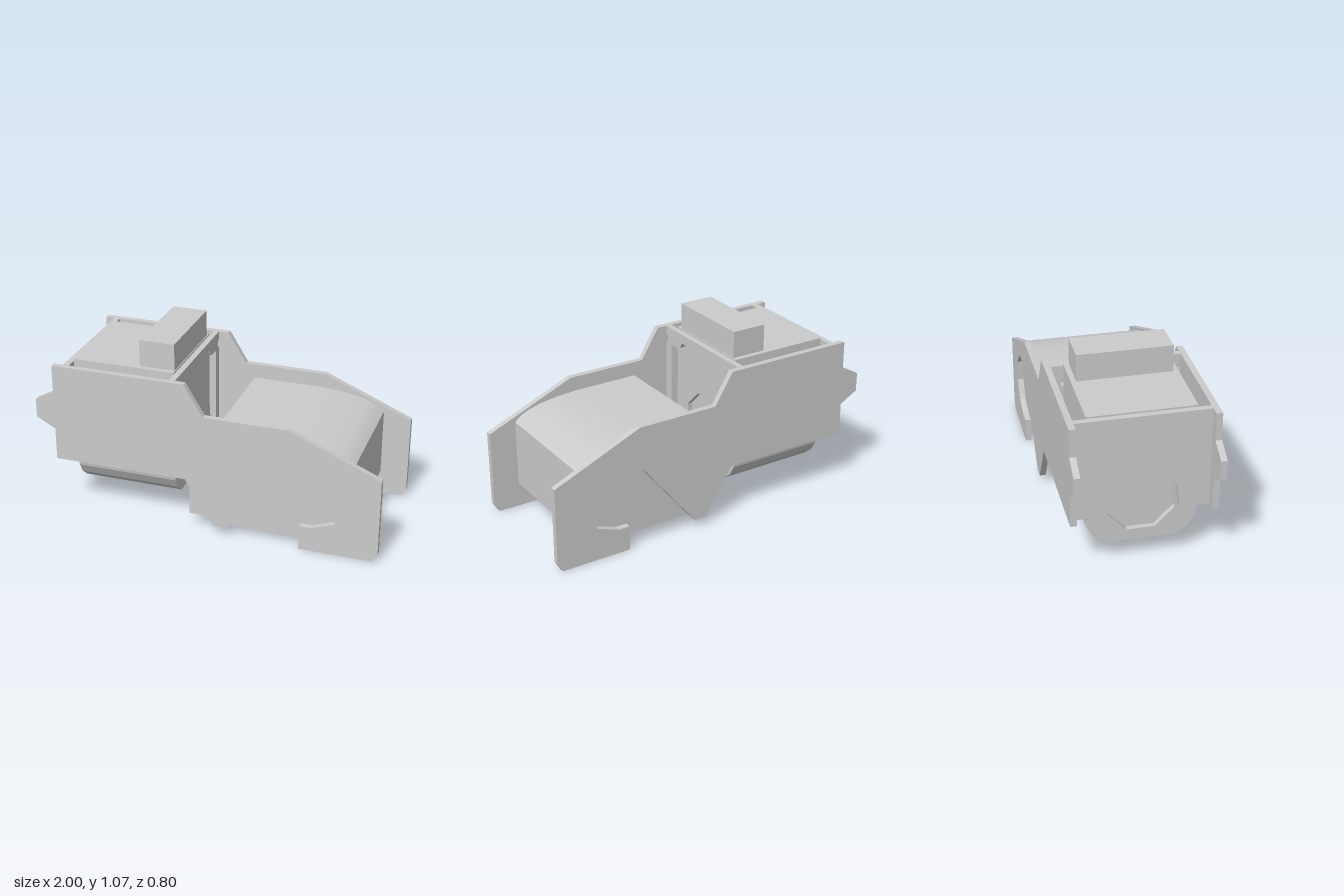
import * as THREE from 'three';
import { toCreasedNormals } from 'three/addons/utils/BufferGeometryUtils.js';

const material = new THREE.MeshStandardMaterial({ color: 0xcccccc, side: THREE.DoubleSide });
const vectors = (points) => points.map(([a, b]) => new THREE.Vector2(a, b));

// Mirrors a half outline (listed for positive values) across the middle.
const mirrored = (half) => [...half, ...half.slice().reverse().map(([a, b]) => [-a, b])];

function makeMesh(name, geometry, smooth = 0) {
  const mesh = new THREE.Mesh(smooth ? toCreasedNormals(geometry, smooth) : geometry, material);
  mesh.name = name;
  return mesh;
}

function extrude(points, depth, holes = []) {
  const shape = new THREE.Shape(vectors(points));
  for (const hole of holes) shape.holes.push(new THREE.Path(vectors(hole)));
  return new THREE.ExtrudeGeometry(shape, { depth, bevelEnabled: false });
}

// Profile in x and y, running from z0 to z1.
function alongZ(name, points, z0, z1, smooth) {
  return makeMesh(name, extrude(points, z1 - z0).translate(0, 0, z0), smooth);
}

// Symmetric profile in z and y, running from x0 to x1.
function alongX(name, points, x0, x1, holes) {
  return makeMesh(name, extrude(points, x1 - x0, holes).rotateY(Math.PI / 2).translate(x0, 0, 0));
}

function box(name, x0, x1, y0, y1, z0, z1) {
  const geometry = new THREE.BoxGeometry(x1 - x0, y1 - y0, z1 - z0);
  return makeMesh(name, geometry.translate((x0 + x1) / 2, (y0 + y1) / 2, (z0 + z1) / 2));
}

export function createModel() {
  const model = new THREE.Group();
  model.name = 'housing';

  // Side plates with a hook-shaped opening at the lower edge
  const plate = [
    [-1, 0.57], [-0.89, 0.51], [-0.89, 0.32], [-0.11, 0.32], [0.055, 0.05], [0.13, 0.05],
    [0.46, 0.46], [0.58, 0.535], [0.71, 0.52], [0.8, 0.43], [0.81, 0.3], [0.75, 0.19],
    [0.62, 0.145], [0.555, 0.145], [0.555, 0], [0.97, 0], [1, 0.05], [1, 0.5],
    [0.48, 0.72], [0, 0.72], [-0.11, 0.9], [-0.89, 0.9], [-0.89, 0.74], [-1, 0.68],
  ];
  model.add(alongZ('leftSidePlate', plate, 0.365, 0.4));
  model.add(alongZ('rightSidePlate', plate, -0.4, -0.365));

  // Main casing with rounded end corners
  model.add(alongZ('mainCasing', [
    [0.055, 0.08], [0.7, 0.08], [0.76, 0.09], [0.81, 0.11], [0.84, 0.145], [0.84, 0.535],
    [0.8, 0.568], [0.75, 0.59], [0.68, 0.61], [0.58, 0.626], [0.45, 0.635], [0.055, 0.635],
  ], -0.365, 0.365, 0.5));

  // Connector block and the strip below the casing
  model.add(box('connectorBlock', -0.1, 0.056, 0.08, 0.4, 0.145, 0.355));
  model.add(box('bottomStrip', 0.055, 0.75, 0.05, 0.085, 0.15, 0.36));

  // Eight-sided port shared by the drum ends and the rear wall
  const port = Array.from({ length: 8 }, (_, i) => {
    const angle = (i + 0.5) * Math.PI / 4;
    return [0.2 * Math.cos(angle), 0.38 + 0.2 * Math.sin(angle)];
  });

  // Drum: solid core with a ported plate at each end
  const drum = mirrored([
    [0.2, 0.13], [0.26, 0.18], [0.295, 0.24], [0.31, 0.32], [0.295, 0.45], [0.295, 0.91],
  ]);
  model.add(alongX('drumCore', drum, -0.77, -0.235));
  for (const [name, x] of [['drumRearEnd', -0.8], ['drumFrontEnd', -0.235]]) {
    model.add(alongX(name, drum, x, x + 0.03, [port]));
  }

  // Rear wall, arched over the port
  const arch = [[0.2, 0.32], [0.185, 0.457], [0.077, 0.565]];
  model.add(alongX('rearWall', mirrored([
    [0.365, 0.9], [0.365, 0.32], ...arch,
  ]), -0.835, -0.8));

  // Front wall with a stepped window and half-round notches at the sides
  const notch = Array.from({ length: 7 }, (_, i) => {
    const angle = i * Math.PI / 6;
    return [0.365 - 0.022 * Math.sin(angle), 0.827 + 0.022 * Math.cos(angle)];
  });
  model.add(alongX('frontWall', mirrored([
    [0.365, 0.9], ...notch, [0.365, 0.32], [0.31, 0.32], [0.31, 0.8],
    [0.25, 0.8], [0.225, 0.808], [0.208, 0.823], [0.197, 0.845],
  ]), -0.205, -0.17));

  // Block on top of the drum
  model.add(box('topBlock', -0.415, -0.21, 0.9, 1.065, -0.265, 0.265));

  return model;
}
